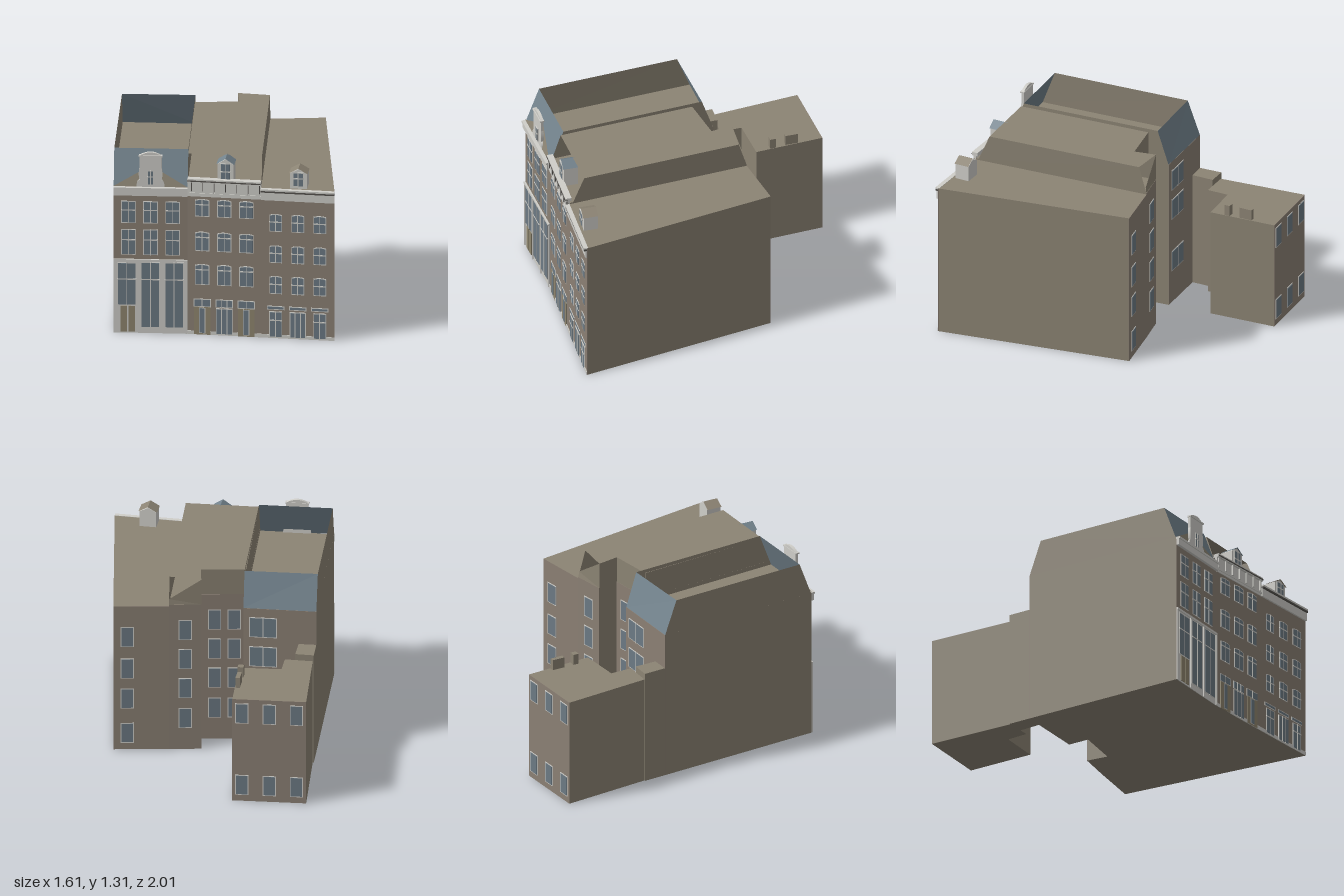
import * as THREE from 'three';

const mat = (name, color, double) => {
  const m = new THREE.MeshStandardMaterial({ color });
  m.name = name;
  if (double) m.side = THREE.DoubleSide;
  return m;
};
const brick = mat('brick', 0x8b8074);
const plaster = mat('plaster', 0x8c8474, true);
const slate = mat('slate', 0x73838d, true);
const glass = mat('glass', 0x6c7a84);
const trim = mat('trim', 0xcfcec9);
const gutter = mat('gutter', 0x55524e);
const door = mat('door', 0x8f866f);

function add(parent, name, geometry, material) {
  const m = new THREE.Mesh(geometry, material);
  m.name = name;
  parent.add(m);
  return m;
}

// Box given by its left/right, bottom/top and back/front limits
function box(parent, name, x0, x1, y0, y1, z0, z1, material) {
  const g = new THREE.BoxGeometry(x1 - x0, y1 - y0, z1 - z0);
  g.translate((x0 + x1) / 2, (y0 + y1) / 2, (z0 + z1) / 2);
  return add(parent, name, g, material);
}

// Flat convex face through the given corners
function face(parent, name, pts, material) {
  const pos = [];
  for (let i = 1; i < pts.length - 1; i++) pos.push(...pts[0], ...pts[i], ...pts[i + 1]);
  const g = new THREE.BufferGeometry();
  g.setAttribute('position', new THREE.Float32BufferAttribute(pos, 3));
  g.computeVertexNormals();
  return add(parent, name, g, material);
}

// Vertical prism on a plan of [x, z] corners
function prism(parent, name, plan, height, material) {
  const s = new THREE.Shape(plan.map(([x, z]) => new THREE.Vector2(x, -z)));
  const g = new THREE.ExtrudeGeometry(s, { depth: height, bevelEnabled: false });
  g.rotateX(-Math.PI / 2);
  return add(parent, name, g, material);
}

// Brick front from plan point p to q; local x runs along it, local z points outward
function facade(parent, name, p, q, height) {
  const f = new THREE.Group();
  f.name = name;
  const dx = q[0] - p[0], dz = q[1] - p[1];
  f.position.set(p[0], 0, p[1]);
  f.rotation.y = -Math.atan2(dz, dx);
  f.userData.width = Math.hypot(dx, dz);
  box(f, 'brickFace', 0, f.userData.width, 0, height, -0.002, 0.002, brick);
  parent.add(f);
  return f;
}

// Thin panel with a straight or slightly arched head
function panel(parent, name, x, w, y0, y1, arch, z, depth, material) {
  const s = new THREE.Shape();
  s.moveTo(x - w / 2, y0);
  s.lineTo(x + w / 2, y0);
  s.lineTo(x + w / 2, y1 - arch);
  if (arch) s.quadraticCurveTo(x, y1 + arch, x - w / 2, y1 - arch);
  else s.lineTo(x - w / 2, y1);
  const g = new THREE.ExtrudeGeometry(s, { depth, bevelEnabled: false, curveSegments: 6 });
  g.translate(0, 0, z);
  return add(parent, name, g, material);
}

// Window: frame, pane, mullions and an optional transom bar
function windowUnit(parent, x, w, y0, y1, { arch = 0, cols = 2, bar = 0, rim = 0.006, z = 0 } = {}) {
  const g = new THREE.Group();
  g.name = 'window';
  panel(g, 'frame', x, w, y0, y1, arch, z, 0.005, trim);
  panel(g, 'pane', x, w - rim * 2, y0 + rim, y1 - rim, arch, z, 0.007, glass);
  for (let i = 1; i < cols; i++) {
    const mx = x - w / 2 + (w * i) / cols;
    box(g, 'mullion', mx - 0.003, mx + 0.003, y0, y1 - arch * 0.3, z + 0.003, z + 0.009, trim);
  }
  if (bar) box(g, 'transom', x - w / 2, x + w / 2, bar - 0.004, bar + 0.004, z + 0.003, z + 0.009, trim);
  parent.add(g);
}

// Gabled roof dormer
function dormer(parent, x, w, y0, eave, ridge, zFront, depth, roofMat) {
  const g = new THREE.Group();
  g.name = 'dormer';
  const h = w / 2, o = 0.006, zb = zFront - depth, zf = zFront + o;
  const s = new THREE.Shape([[x - h, y0], [x + h, y0], [x + h, eave], [x, ridge], [x - h, eave]]
    .map(([a, b]) => new THREE.Vector2(a, b)));
  const body = new THREE.ExtrudeGeometry(s, { depth, bevelEnabled: false });
  body.translate(0, 0, zb);
  add(g, 'dormerBody', body, trim);
  for (const k of [-1, 1]) {
    const e = [x + k * (h + o), eave];
    face(g, 'dormerRoof', [[x, ridge + 0.006, zb], [x, ridge + 0.006, zf], [...e, zf], [...e, zb]], roofMat);
  }
  windowUnit(g, x, w * 0.66, y0 + 0.015, eave + 0.008, { bar: (y0 + eave) / 2 + 0.02, z: zFront });
  parent.add(g);
}

export function createModel() {
  const model = new THREE.Group();
  model.name = 'townhouseRow';

  // Building volumes
  const planA = [[-0.7, 0.97], [-0.2, 0.945], [-0.265, -0.22], [-0.76, -0.2]];
  const planB = [[-0.2, 0.945], [0.3, 0.96], [0.23, -0.31], [0.015, -0.27], [0.04, -0.12], [-0.26, -0.07]];
  const planC = [[0.3, 0.96], [0.8, 0.975], [0.6, -0.37], [0.23, -0.31]];
  const planAnnex = [[-0.76, -0.36], [-0.57, -0.36], [-0.57, -0.51], [-0.285, -0.53], [-0.31, -1], [-0.81, -0.97]];
  prism(model, 'leftHouse', planA, 1.06, plaster);
  prism(model, 'middleHouse', planB, 1.09, plaster);
  prism(model, 'rightHouse', planC, 1.08, plaster);
  prism(model, 'annex', planAnnex, 0.765, plaster);
  prism(model, 'annexLink', [[-0.76, -0.2], [-0.64, -0.2], [-0.64, -0.36], [-0.767, -0.36]], 0.81, plaster);
  box(model, 'annexChimney', -0.335, -0.295, 0.76, 0.84, -0.67, -0.63, plaster);
  box(model, 'annexChimney', -0.335, -0.305, 0.76, 0.84, -0.83, -0.74, plaster);

  // Open attic of the left house: two side walls, slate slopes front and back
  const fl = [-0.7, 1.06, 0.965], fr = [-0.2, 1.06, 0.94], bl = [-0.76, 1.06, -0.2], br = [-0.265, 1.06, -0.22];
  const tfl = [-0.705, 1.3, 0.875], tfr = [-0.205, 1.3, 0.85], tbl = [-0.756, 1.3, -0.11], tbr = [-0.26, 1.3, -0.14];
  face(model, 'atticSide', [fl, tfl, tbl, bl], plaster);
  face(model, 'atticSide', [fr, br, tbr, tfr], plaster);
  face(model, 'frontSlope', [fl, fr, tfr, tfl], slate);
  face(model, 'backSlope', [br, bl, tbl, tbr], slate);

  // Attic of the middle house, open at the front and at the rear corner
  const up = (x, z, y = 1.275) => [x, y, z];
  const lo = (x, z) => [x, 1.09, z];
  face(model, 'atticSide', [lo(-0.2, 0.93), up(-0.203, 0.87), up(-0.26, -0.07), lo(-0.26, -0.07)], plaster);
  face(model, 'atticSide', [lo(0.3, 0.93), lo(0.23, -0.31), up(0.233, -0.255), up(0.295, 0.85)], plaster);
  face(model, 'atticBack', [lo(-0.26, -0.07), lo(0.04, -0.12), up(0.04, -0.12), up(-0.26, -0.07)], plaster);
  face(model, 'atticBack', [lo(0.04, -0.12), lo(0.015, -0.27), up(0.015, -0.27), up(0.04, -0.12)], plaster);
  face(model, 'atticBack', [lo(0.015, -0.27), lo(0.23, -0.31), up(0.23, -0.305, 1.13), up(0.015, -0.27)], plaster);
  face(model, 'atticRoof', [up(-0.203, 0.87), up(0.295, 0.85), up(0.04, -0.12), up(-0.26, -0.07)], plaster);
  face(model, 'atticRoof', [up(0.295, 0.85), up(0.233, -0.255), up(0.015, -0.27), up(0.04, -0.12)], plaster);

  // Left house front: pale shopfront, tall windows, cornice and ornate gable
  const A = facade(model, 'leftFront', planA[0], planA[1], 1.06);
  box(A, 'shopfront', 0, 0.5, 0, 0.53, 0, 0.006, trim);
  windowUnit(A, 0.09, 0.13, 0.2, 0.51, { bar: 0.39, z: 0.004 });
  for (const x of [0.25, 0.41]) {
    windowUnit(A, x, 0.13, 0.04, 0.515, { bar: 0.39, z: 0.004 });
  }
  for (const x of [0.0, 0.165, 0.33, 0.488]) box(A, 'pilaster', x, x + 0.012, 0, 0.53, 0, 0.012, trim);
  for (const x of [0.07, 0.122]) box(A, 'doorLeaf', x - 0.022, x + 0.022, 0.01, 0.195, 0.004, 0.011, door);
  box(A, 'shopCornice', 0, 0.5, 0.52, 0.535, 0, 0.014, trim);
  for (const x of [0.1, 0.25, 0.4]) {
    windowUnit(A, x, 0.1, 0.565, 0.75, { bar: 0.675 });
    windowUnit(A, x, 0.1, 0.795, 0.955, { bar: 0.89 });
  }
  box(A, 'cornice', 0, 0.5, 1.0, 1.045, 0, 0.022, trim);
  box(A, 'corniceCap', 0, 0.5, 1.045, 1.06, -0.01, 0.029, trim);
  face(A, 'gableRoof', [[0, 1.062, 0.004], [0.5, 1.062, 0.004], [0.25, 1.2, -0.038]], plaster);
  const s = new THREE.Shape();
  s.moveTo(0.155, 1.06);
  s.lineTo(0.345, 1.06);
  s.quadraticCurveTo(0.345, 1.1, 0.325, 1.11);
  s.quadraticCurveTo(0.335, 1.15, 0.325, 1.2);
  s.lineTo(0.325, 1.285);
  s.quadraticCurveTo(0.25, 1.335, 0.175, 1.285);
  s.lineTo(0.175, 1.2);
  s.quadraticCurveTo(0.165, 1.15, 0.175, 1.11);
  s.quadraticCurveTo(0.155, 1.1, 0.155, 1.06);
  const gable = add(A, 'gable', new THREE.ExtrudeGeometry(s, { depth: 0.02, bevelEnabled: false }), trim);
  gable.position.z = -0.015;
  box(A, 'gableCap', 0.17, 0.33, 1.278, 1.288, -0.018, 0.012, trim);
  windowUnit(A, 0.25, 0.045, 1.075, 1.18, { bar: 0.0 + 1.135, z: 0.004 });

  // Middle house front: arched windows, shop doors and bracketed cornice
  const B = facade(model, 'middleFront', planB[0], planB[1], 1.09);
  box(B, 'plinth', 0, 0.5, 0, 0.025, 0, 0.006, trim);
  for (const x of [0.1, 0.25, 0.4]) {
    for (const [y0, y1] of [[0.36, 0.51], [0.605, 0.745], [0.855, 0.982]]) {
      windowUnit(B, x, 0.1, y0, y1, { arch: 0.008, bar: y1 - 0.04 });
    }
    windowUnit(B, x, 0.12, 0.2, 0.258, { cols: x === 0.25 ? 3 : 2 });
    if (x === 0.25) windowUnit(B, x, 0.115, 0.005, 0.195, { cols: 3, z: 0.002 });
    else {
      box(B, 'doorSurround', x - 0.055, x + 0.055, 0, 0.2, 0, 0.007, door);
      windowUnit(B, x, 0.042, 0.01, 0.195, { cols: 1, rim: 0.004, z: 0.003 });
    }
  }
  box(B, 'frieze', 0, 0.5, 1.0, 1.115, -0.01, 0.008, trim);
  box(B, 'friezeMoulding', 0, 0.5, 1.015, 1.027, 0, 0.013, trim);
  box(B, 'corniceCap', 0, 0.5, 1.105, 1.13, -0.02, 0.022, trim);
  box(B, 'gutterStrip', 0, 0.5, 1.112, 1.12, 0, 0.025, gutter);
  for (let i = 0; i < 7; i++) {
    const x = 0.012 + i * 0.077;
    box(B, 'bracket', x, x + 0.014, 1.03, 1.105, 0, 0.018, trim);
    box(B, 'bracketSide', x + 0.014, x + 0.018, 1.04, 1.105, 0, 0.013, gutter);
  }
  dormer(B, 0.255, 0.11, 1.09, 1.235, 1.27, -0.015, 0.1, slate);

  // Right house front
  const C = facade(model, 'rightFront', planC[0], planC[1], 1.08);
  box(C, 'plinth', 0, 0.5, 0, 0.025, 0, 0.006, trim);
  for (const x of [0.1, 0.25, 0.4]) {
    for (const [y0, y1] of [[0.32, 0.45], [0.545, 0.672], [0.772, 0.9]]) {
      windowUnit(C, x, 0.088, y0, y1, { arch: 0.007, bar: y0 + 0.07 });
    }
    const wide = x === 0.25;
    windowUnit(C, x, 0.12, 0.205, 0.232, { cols: 1 });
    windowUnit(C, x, wide ? 0.11 : 0.088, 0.005, 0.193, { cols: wide ? 3 : 2, bar: wide ? 0 : 0.13, z: 0.002 });
  }
  box(C, 'cornice', 0, 0.5, 1.0, 1.06, 0, 0.014, trim);
  box(C, 'gutterStrip', 0, 0.5, 1.058, 1.072, 0, 0.023, gutter);
  box(C, 'corniceCap', 0, 0.5, 1.07, 1.082, -0.005, 0.025, trim);
  dormer(C, 0.25, 0.115, 1.08, 1.19, 1.22, -0.025, 0.1, plaster);

  // Rear walls: columns of windows as [distance, width, panes]
  const rear = (name, p, q, h, cols, rows) => {
    const f = facade(model, name, p, q, h);
    for (const [t, w, n] of cols) {
      for (const y of rows) windowUnit(f, t * f.userData.width, w, y - 0.075, y + 0.075, { cols: n });
    }
  };
  const upper = [0.9, 0.68, 0.46, 0.235];
  rear('rightRear', planC[2], planC[3], 1.08, [[0.25, 0.09, 1]], [0.85, 0.61, 0.385, 0.125]);
  rear('middleRear', planB[2], planB[3], 1.09, [[0.5, 0.09, 1]], upper);
  rear('middleRearInner', planB[4], planB[5], 1.09, [[0.3, 0.09, 1], [0.74, 0.09, 1]], upper);
  rear('leftRear', planA[2], planA[3], 1.06, [[0.27, 0.19, 2]], [0.92, 0.7, 0.31]);
  rear('annexRear', planAnnex[4], planAnnex[5], 0.765, [[0.13, 0.09, 1], [0.5, 0.09, 1], [0.87, 0.09, 1]], [0.66, 0.12]);
  return model;
}
